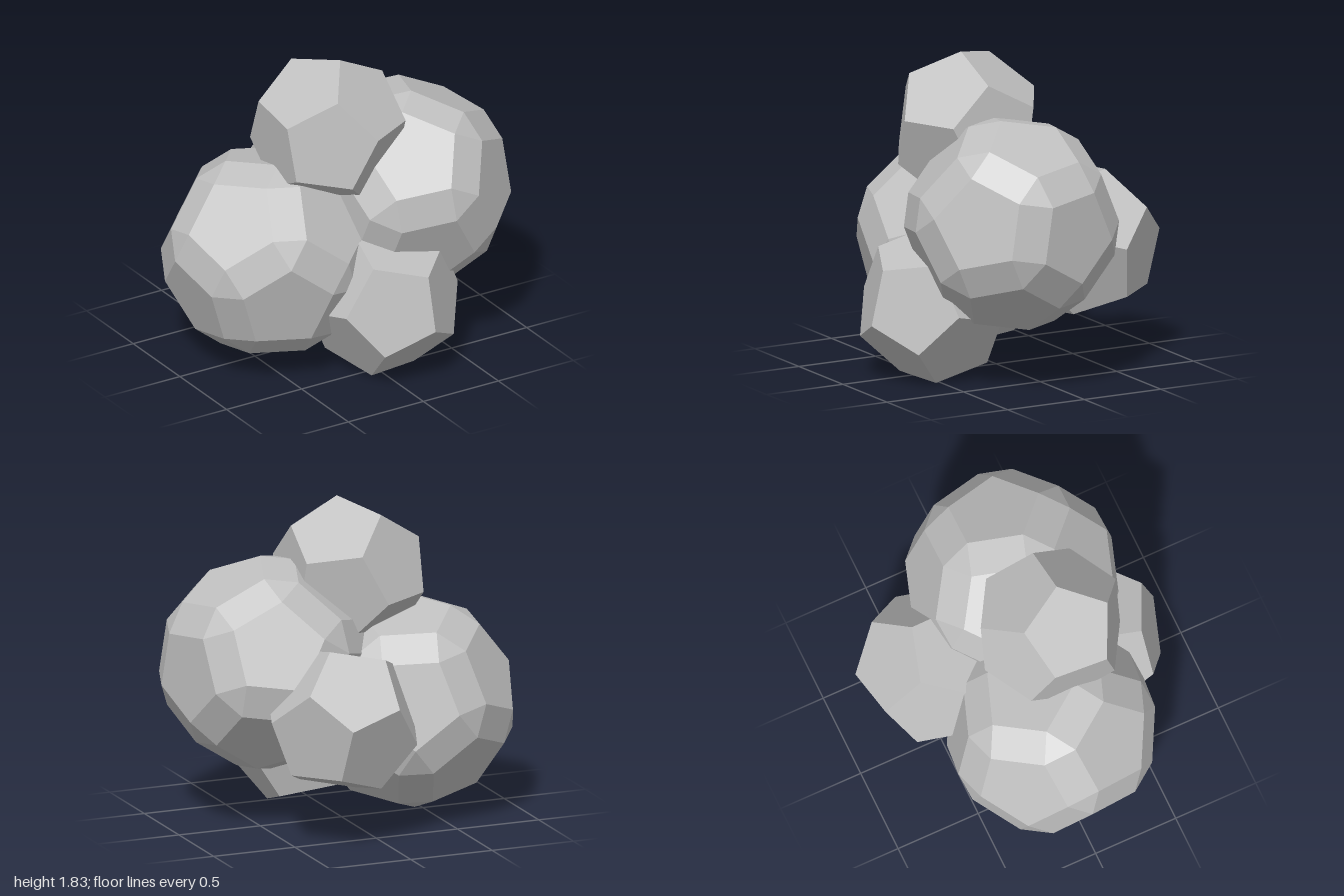
import * as THREE from 'three';
import { ConvexGeometry } from 'three/addons/geometries/ConvexGeometry.js';

const RADIUS = 0.451;   // circumradius of the small dodecahedra
const EXPAND = 0.187;   // how far the large solids' pentagons are pushed outward

const grey = new THREE.MeshStandardMaterial({ color: 0xbfbfbf });
grey.name = 'stone grey';

// Corners and face normals of a dodecahedron, given one face normal
// and the direction from that face's centre to one of its corners.
function dodecahedron(normal, corner) {
  const n = new THREE.Vector3(...normal).normalize();
  const w = new THREE.Vector3(...corner);
  w.addScaledVector(n, -w.dot(n)).normalize();
  const k = new THREE.Vector3().crossVectors(n, w);
  const mix = (along, out, turn) => n.clone().multiplyScalar(along)
    .addScaledVector(w, out * Math.cos(turn))
    .addScaledVector(k, out * Math.sin(turn));
  const high = Math.sqrt((5 + 2 * Math.sqrt(5)) / 15);
  const low = Math.sqrt((5 - 2 * Math.sqrt(5)) / 15);
  const corners = [], normals = [n.clone(), n.clone().negate()];
  for (let i = 0; i < 5; i++) {
    const turn = i * Math.PI * 2 / 5;
    const list = [
      mix(high, Math.sqrt(1 - high * high), turn),
      mix(low, Math.sqrt(1 - low * low), turn),
    ];
    for (const c of list) corners.push(c, c.clone().negate());
    const face = mix(1 / Math.sqrt(5), 2 / Math.sqrt(5), turn + Math.PI / 5);
    normals.push(face, face.clone().negate());
  }
  corners.forEach((c) => c.multiplyScalar(RADIUS));
  return { corners, normals };
}

// Twelve flat pentagons
function smallSolid(normal, corner) {
  return new ConvexGeometry(dodecahedron(normal, corner).corners);
}

// Pentagons moved apart, with rectangles and triangles filling the gaps
function largeSolid(normal, corner) {
  const { corners, normals } = dodecahedron(normal, corner);
  const points = [];
  for (const n of normals) {
    for (const c of corners) {
      if (c.dot(n) > RADIUS * 0.7) points.push(c.clone().addScaledVector(n, EXPAND));
    }
  }
  return new ConvexGeometry(points);
}

export function createModel() {
  const model = new THREE.Group();
  model.name = 'polyhedron cluster';

  const parts = [
    // name, builder, centre, face normal, corner direction
    ['rightLargeSolid', largeSolid, [-0.41, 0.66, -0.003], [-0.658, 0.406, -0.634], [-0.707, -0.044, 0.706]],
    ['leftLargeSolid', largeSolid, [0.41, 0.931, 0.136], [0.439, 0.898, 0], [-0.047, 0.023, 0.9986]],
    ['topSmallSolid', smallSolid, [-0.1, 1.4, 0.138], [0.37, 0.683, 0.629], [-0.157, 0.3585, -0.2975]],
    ['frontSmallSolid', smallSolid, [0.073, 0.43, 0.456], [-0.371, 0.213, 0.904], [0.751, -0.497, 0.431]],
    ['backSmallSolid', smallSolid, [0.188, 0.718, -0.457], [0.766, -0.125, -0.631], [0.099, 0.993, -0.057]],
  ];

  for (const [name, build, centre, normal, corner] of parts) {
    const mesh = new THREE.Mesh(build(normal, corner), grey);
    mesh.name = name;
    mesh.position.set(...centre);
    model.add(mesh);
  }
  return model;
}
